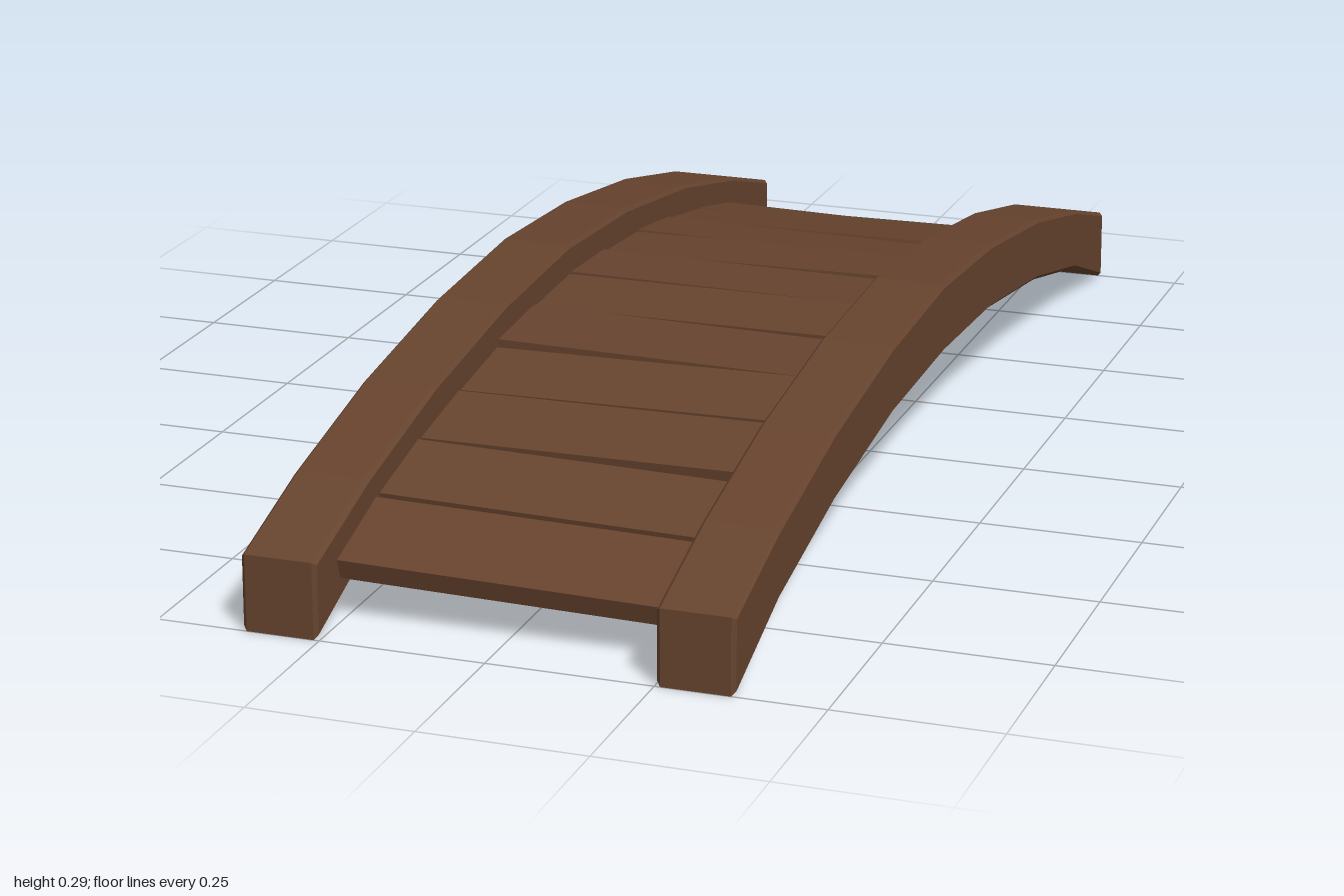
import * as THREE from 'three';

// Half of the arch: distance from the middle, underside height, top height
const ARCH = [[0, 0.178, 0.29], [0.27, 0.168, 0.275], [0.555, 0.13, 0.235], [0.81, 0.073, 0.178], [1, 0.003, 0.119]];

// Height of the beam's centre line at a distance from the middle
function archHeight(z) {
  const d = Math.min(Math.abs(z), 1);
  const i = Math.max(1, ARCH.findIndex((p) => p[0] >= d));
  const a = ARCH[i - 1], b = ARCH[i];
  const t = (d - a[0]) / (b[0] - a[0]);
  return THREE.MathUtils.lerp(a[1] + a[2], b[1] + b[2], t) / 2;
}

// Arched beam with narrow chamfers, centred on x = 0
function beamGeometry() {
  const mirrored = ARCH.slice(1).reverse();
  const outline = [
    ...mirrored.map((p) => [-p[0], p[1]]),
    ...ARCH.map((p) => [p[0], p[1]]),
    ...mirrored.map((p) => [p[0], p[2]]),
    ...ARCH.map((p) => [-p[0], p[2]]),
  ];
  const shape = new THREE.Shape(outline.map((p) => new THREE.Vector2(p[0], p[1])));
  const bevel = 0.006, width = 0.115;
  const geometry = new THREE.ExtrudeGeometry(shape, {
    depth: width - 2 * bevel, bevelEnabled: true, bevelSegments: 1,
    bevelSize: bevel, bevelThickness: bevel, bevelOffset: -bevel,
  });
  geometry.translate(0, 0, bevel - width / 2);
  geometry.rotateY(Math.PI / 2);
  return geometry;
}

export function createModel() {
  const group = new THREE.Group();
  const wood = new THREE.MeshStandardMaterial({ color: 0x66432e });
  wood.name = 'brown wood';

  // Side beams
  const beam = beamGeometry();
  for (const side of [1, -1]) {
    const mesh = new THREE.Mesh(beam, wood);
    mesh.name = side > 0 ? 'leftBeam' : 'rightBeam';
    mesh.position.x = side * 0.31;
    group.add(mesh);
  }

  // Twelve deck planks following the arch, each laid slightly askew
  const plank = new THREE.BoxGeometry(0.54, 0.032, 0.15);
  const rolls = [0.012, -0.015, 0.008, -0.01, 0.014, -0.006, 0.004, -0.012, 0.016, 0.01, -0.02, -0.022];
  rolls.forEach((roll, i) => {
    const z = -0.857 + i * 0.155;
    const slope = (archHeight(z + 0.07) - archHeight(z - 0.07)) / 0.14;
    const mesh = new THREE.Mesh(plank, wood);
    mesh.name = 'plank' + (i + 1);
    mesh.position.set(0, archHeight(z) - 0.006 - 0.009 * Math.abs(z), z);
    mesh.rotation.set(-Math.atan(slope), 0, roll);
    group.add(mesh);
  });
  return group;
}
